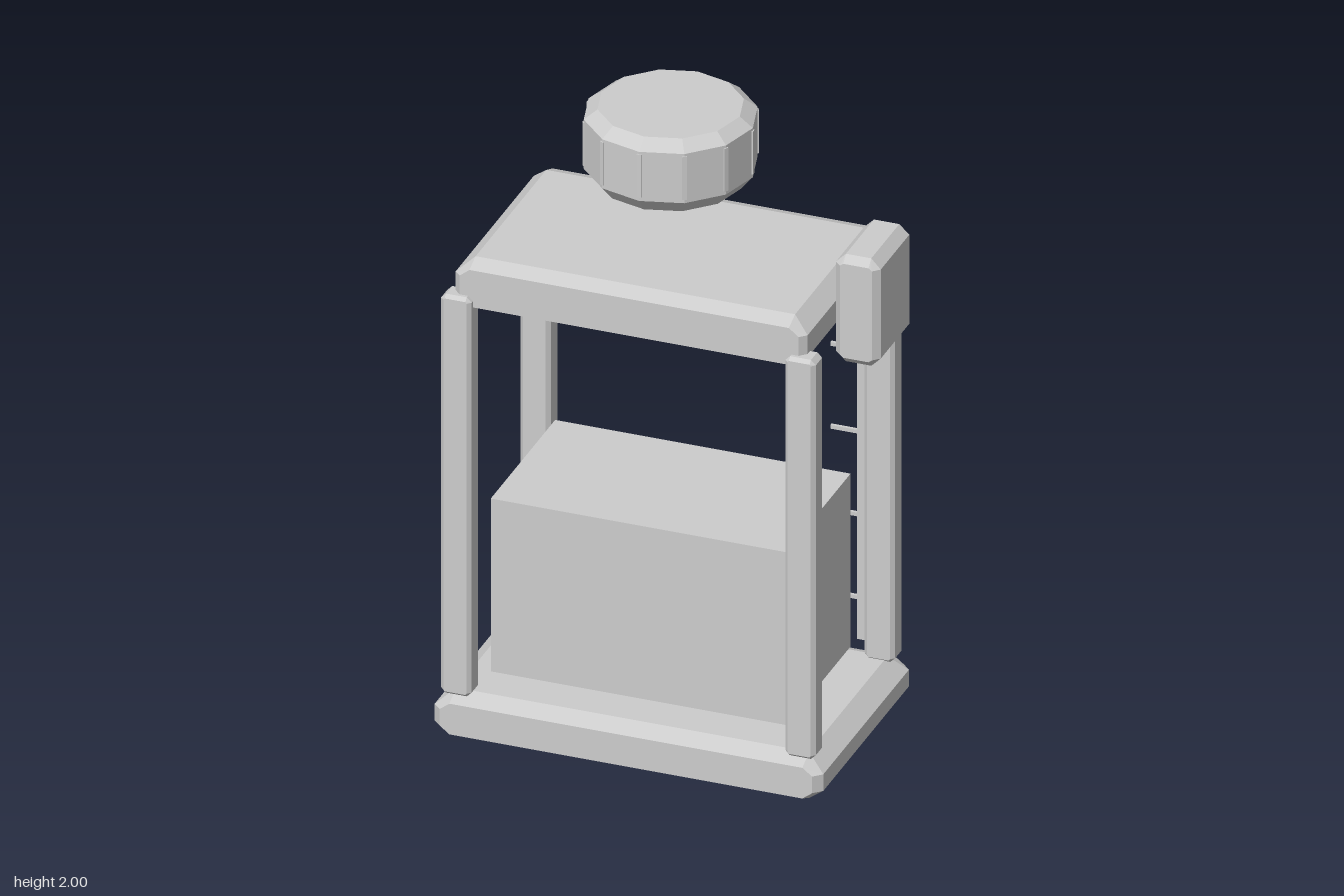
import * as THREE from 'three';
import { ConvexGeometry } from 'three/addons/geometries/ConvexGeometry.js';

const grey = new THREE.MeshStandardMaterial({ color: 0xcccccc });
grey.name = 'plain grey';

function add(group, name, geometry, x = 0, y = 0, z = 0) {
  const mesh = new THREE.Mesh(geometry, grey);
  mesh.name = name;
  mesh.position.set(x, y, z);
  group.add(mesh);
  return mesh;
}

// Box between two corners
function addBox(group, name, [x0, x1], [y0, y1], [z0, z1]) {
  return add(group, name, new THREE.BoxGeometry(x1 - x0, y1 - y0, z1 - z0),
    (x0 + x1) / 2, (y0 + y1) / 2, (z0 + z1) / 2);
}

// Box with bevelled edges: inset in x and z, drop on the end and front faces, cut of the upright edges
function addBevelled(group, name, [x0, x1], [y0, y1], [z0, z1], { ix, iz, dropX, dropZ, cut }) {
  const hx = (x1 - x0) / 2, hy = (y1 - y0) / 2, hz = (z1 - z0) / 2;
  const points = [];
  for (const sx of [-1, 1]) for (const sy of [-1, 1]) for (const sz of [-1, 1]) {
    for (const [x, y, z] of [
      [hx - ix, hy, hz - iz],
      [hx - ix, hy - dropZ, hz],
      [hx - cut, hy - dropX, hz],
      [hx, hy - dropX, hz - cut],
    ]) points.push(new THREE.Vector3(sx * x, sy * y, sz * z));
  }
  return add(group, name, new ConvexGeometry(points),
    (x0 + x1) / 2, (y0 + y1) / 2, (z0 + z1) / 2);
}

export function createModel() {
  const model = new THREE.Group();
  model.name = 'tank';

  // Base and roof slabs
  addBevelled(model, 'base', [-0.645, 0.552], [0, 0.15], [-0.367, 0.367],
    { ix: 0.055, iz: 0.055, dropX: 0.048, dropZ: 0.025, cut: 0.025 });
  addBevelled(model, 'roof', [-0.592, 0.492], [1.39, 1.55], [-0.332, 0.332],
    { ix: 0.05, iz: 0.05, dropX: 0.044, dropZ: 0.02, cut: 0.02 });

  // Corner posts
  for (const x of [-0.578, 0.482]) for (const z of [-0.317, 0.317]) {
    addBevelled(model, 'cornerPost', [x - 0.047, x + 0.047], [0.145, 1.445], [z - 0.037, z + 0.037],
      { ix: 0.015, iz: 0.012, dropX: 0.015, dropZ: 0.01, cut: 0.012 });
  }

  // Contents block inside the frame
  addBox(model, 'contents', [-0.505, 0.405], [0.192, 0.755], [-0.257, 0.257]);

  // Gauge strip with tick marks on the back left post
  addBox(model, 'gaugeStrip', [0.39, 0.47], [0.17, 1.4], [-0.357, -0.345]);
  for (let i = 0; i < 4; i++) {
    const y = 0.3 + i * 0.27;
    addBox(model, 'gaugeMark', [0.305, 0.45], [y - 0.006, y + 0.006], [-0.364, -0.354]);
  }

  // Side block by the roof
  addBevelled(model, 'sideBlock', [0.503, 0.641], [1.33, 1.68], [-0.134, 0.134],
    { ix: 0.03, iz: 0.022, dropX: 0.03, dropZ: 0.022, cut: 0.02 });

  // Floating twelve-sided cap with ribs on its corners
  const cap = new THREE.Group();
  cap.name = 'cap';
  cap.position.set(-0.05, 0, 0);
  model.add(cap);
  const profile = [[0, 1.764], [0.215, 1.764], [0.253, 1.81], [0.253, 1.97], [0.213, 2], [0, 2]]
    .map(([r, y]) => new THREE.Vector2(r, y));
  const body = new THREE.LatheGeometry(profile, 12).toNonIndexed();
  body.computeVertexNormals();
  add(cap, 'capBody', body);
  for (let i = 0; i < 12; i++) {
    const a = i * Math.PI / 6;
    const rib = add(cap, 'capRib', new THREE.BoxGeometry(0.014, 0.14, 0.014),
      Math.sin(a) * 0.249, 1.892, Math.cos(a) * 0.249);
    rib.rotation.y = a;
  }
  return model;
}
